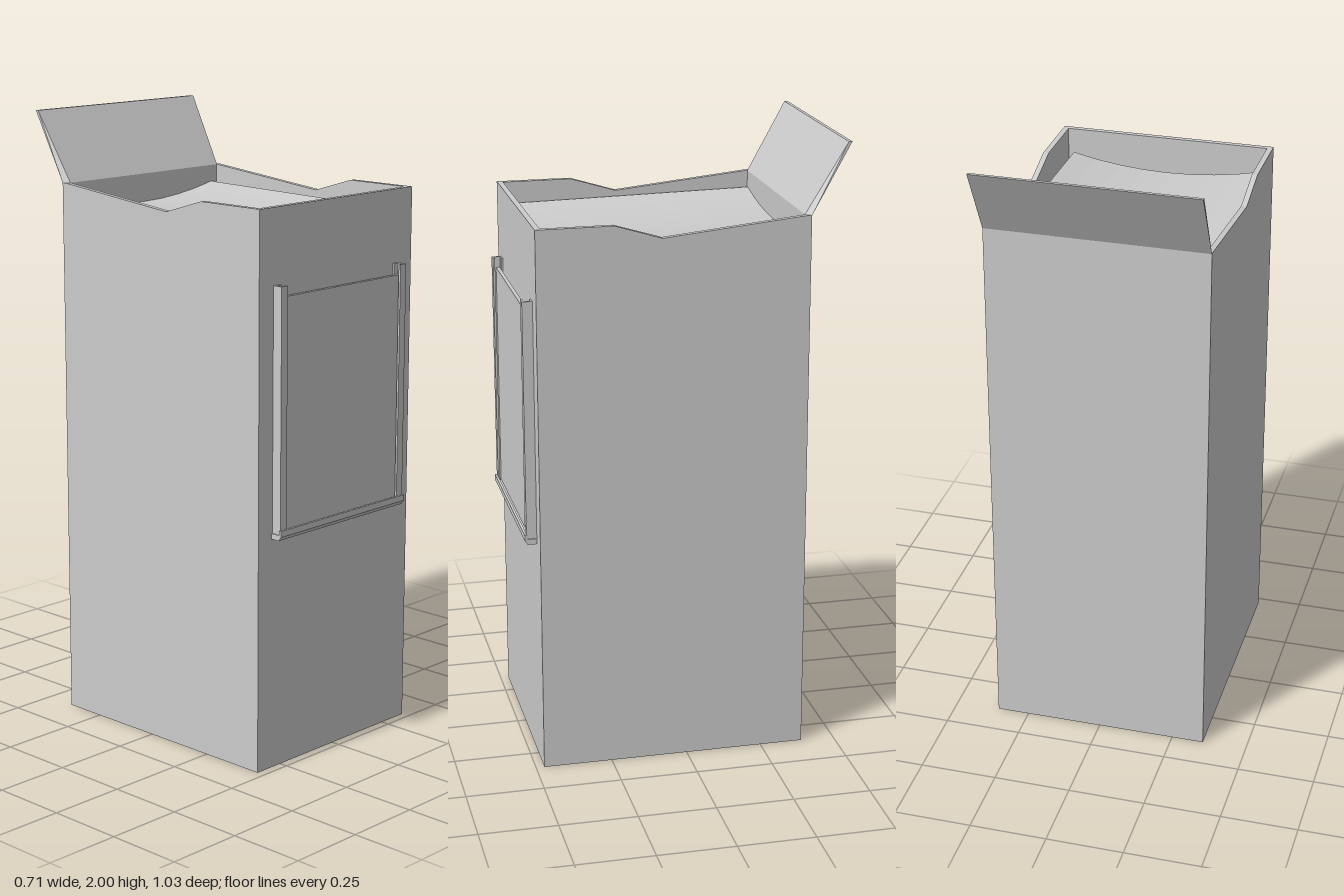
import * as THREE from 'three';
import { ConvexGeometry } from 'three/addons/geometries/ConvexGeometry.js';

const W = 0.355, FRONT = 0.473, BACK = -0.39, RIM = 1.776, T = 0.018;

const material = new THREE.MeshStandardMaterial({ color: 0xcccccc, flatShading: true });

function add(group, name, geometry) {
  const mesh = new THREE.Mesh(geometry, material);
  mesh.name = name;
  group.add(mesh);
  return mesh;
}

// Box given by its minimum and maximum corners
function block(x0, x1, y0, y1, z0, z1) {
  return new THREE.BoxGeometry(x1 - x0, y1 - y0, z1 - z0)
    .translate((x0 + x1) / 2, (y0 + y1) / 2, (z0 + z1) / 2);
}

function extrude(points, depth) {
  const shape = new THREE.Shape(points.map(([x, y]) => new THREE.Vector2(x, y)));
  return new THREE.ExtrudeGeometry(shape, { depth, bevelEnabled: false });
}

// Extrude a [z, y] profile along x, from x0 to x1
function extrudeAlongX(profile, x0, x1) {
  return extrude(profile.map(([z, y]) => [-z, y]), x1 - x0)
    .rotateY(Math.PI / 2).translate(x0, 0, 0);
}

// Extrude an [x, z] profile upward, from y0 to y1
function extrudeUp(profile, y0, y1) {
  return extrude(profile.map(([x, z]) => [x, -z]), y1 - y0)
    .rotateX(-Math.PI / 2).translate(0, y0, 0);
}

export function createModel() {
  const model = new THREE.Group();
  model.name = 'openBin';

  // Open casing: floor, front, back and dipped side walls
  const casing = new THREE.Group();
  casing.name = 'casing';
  add(casing, 'floor', block(-W + T, W - T, 0, T, BACK + T, FRONT - T));
  add(casing, 'frontWall', block(-W + T, W - T, 0, RIM, FRONT - T, FRONT));
  add(casing, 'backWall', block(-W + T, W - T, 0, RIM, BACK, BACK + T));
  const side = [[FRONT, 0], [FRONT, RIM], [0.23, RIM], [0.08, 1.73], [-0.37, RIM], [BACK, RIM], [BACK, 0]];
  add(casing, 'rightWall', extrudeAlongX(side, -W, -W + T));
  add(casing, 'leftWall', extrudeAlongX(side, W - T, W));
  model.add(casing);

  // Contents with a gently sagging top
  const contents = block(-0.33, 0.31, T, 1.72, BACK + T, 0.425).toNonIndexed();
  contents.dispose();
  const filling = new THREE.BoxGeometry(0.64, 1.7, 0.797, 8, 1, 1);
  const p = filling.attributes.position;
  for (let i = 0; i < p.count; i++) {
    if (p.getY(i) > 0) {
      const u = p.getX(i) / 0.32;
      p.setY(i, p.getY(i) - 0.038 * (1 - u * u) - (p.getZ(i) > 0 ? 0.015 : 0));
    }
  }
  filling.translate(-0.01, T + 0.853, 0.0265);
  add(model, 'contents', filling);

  // Flap leaning back from the rear rim, its inner face tapered at the hinge
  const corners = [];
  for (const s of [-1, 1]) {
    corners.push(
      new THREE.Vector3(s * W, RIM, BACK),
      new THREE.Vector3(s * W, 2, -0.513),
      new THREE.Vector3(s * W, 2, -0.502),
      new THREE.Vector3(s * 0.338, RIM, BACK + T),
    );
  }
  add(model, 'flap', new ConvexGeometry(corners));

  // Card holder: two channel rails, a bottom ledge and the card
  const holder = new THREE.Group();
  holder.name = 'cardHolder';
  const channel = [
    [0.292, FRONT], [0.292, 0.506], [0.264, 0.506], [0.264, 0.499],
    [0.285, 0.499], [0.285, 0.479], [0.264, 0.479], [0.264, FRONT],
  ];
  for (const s of [-1, 1]) {
    const rail = channel.map(([x, z]) => [s * x, z]);
    add(holder, s < 0 ? 'rightRail' : 'leftRail', extrudeUp(rail, 0.765, 1.54));
  }
  const ledge = [
    [FRONT, 0.75], [0.503, 0.75], [0.512, 0.763], [0.512, 0.782],
    [0.504, 0.782], [0.504, 0.768], [FRONT, 0.768],
  ];
  add(holder, 'bottomLedge', extrudeAlongX(ledge, -0.296, 0.296));
  add(holder, 'card', block(-0.282, 0.278, 0.768, 1.505, 0.481, 0.493));
  model.add(holder);

  return model;
}
